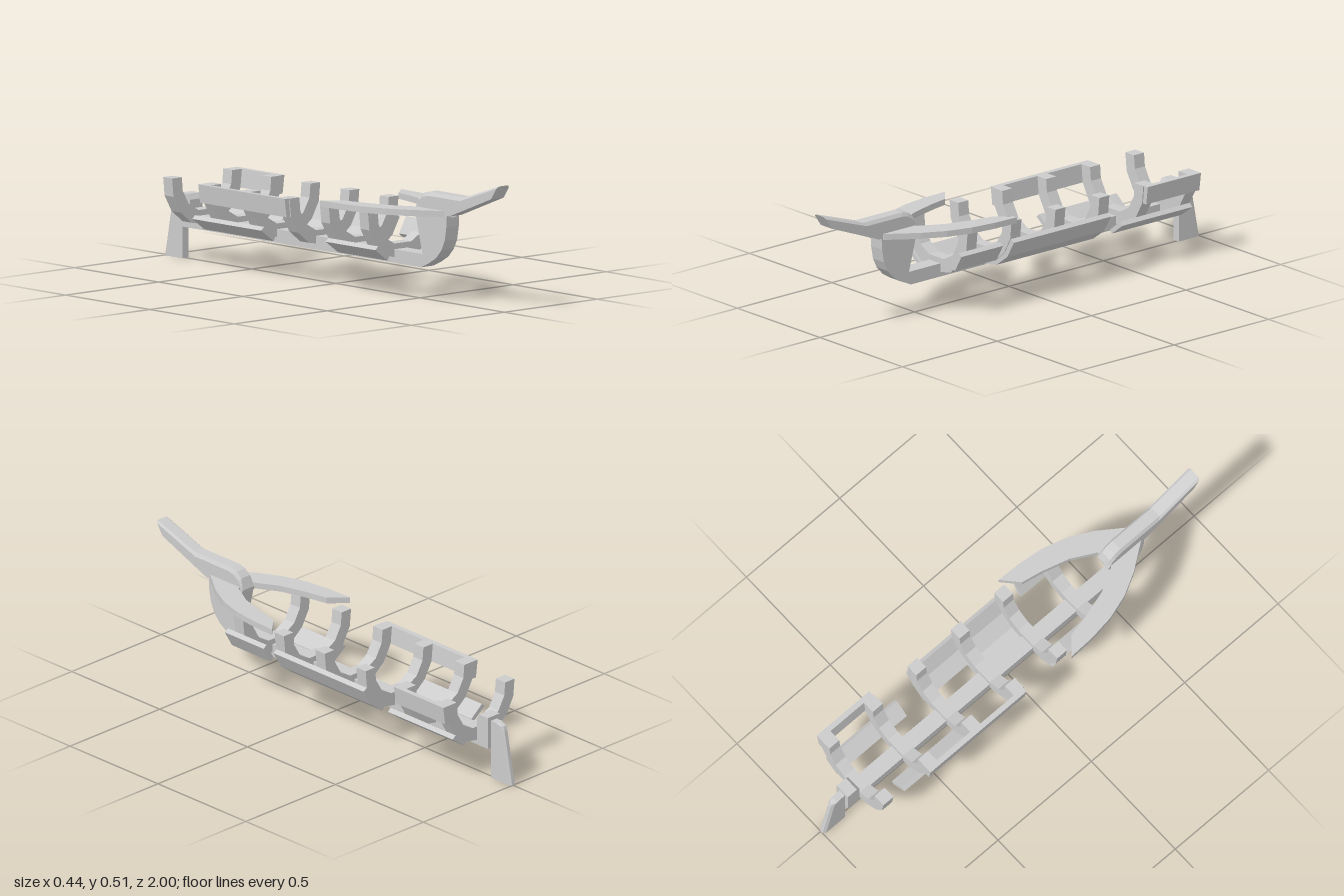
import * as THREE from 'three';

const mat = new THREE.MeshStandardMaterial({ color: 0xcccccc, flatShading: true });
const KEEL_X = -0.0035; // centre of keel and stem
const RIB_X = 0.0075;   // centre of the ribs
const KEEL_W = 0.067;

export function createModel() {
  const root = new THREE.Group();
  root.name = 'shipSkeleton';

  const add = (name, geo) => {
    const mesh = new THREE.Mesh(geo, mat);
    mesh.name = name;
    root.add(mesh);
  };
  const extrude = (pts, depth) => new THREE.ExtrudeGeometry(
    new THREE.Shape(pts.map(p => new THREE.Vector2(p[0], p[1]))), { depth, bevelEnabled: false });

  // (x, y) outline run lengthwise from z0 to z1
  const lengthwise = (name, pts, z0, z1) => add(name, extrude(pts, z1 - z0).translate(0, 0, z0));

  // (z, y) side outline with a width in x
  const sideways = (name, pts, width) =>
    add(name, extrude(pts, width).rotateY(-Math.PI / 2).translate(KEEL_X + width / 2, 0, 0));

  // closed loops joined in sequence, with end caps
  const loft = (name, loops) => {
    const v = [];
    const n = loops[0].length;
    const tri = (a, b, c) => v.push(...a, ...b, ...c);
    for (let s = 0; s < loops.length - 1; s++) {
      for (let i = 0; i < n; i++) {
        const j = (i + 1) % n, a = loops[s], b = loops[s + 1];
        tri(a[i], a[j], b[j]);
        tri(a[i], b[j], b[i]);
      }
    }
    const first = loops[0], last = loops[loops.length - 1];
    for (let i = 1; i < n - 1; i++) {
      tri(first[0], first[i + 1], first[i]);
      tri(last[0], last[i], last[i + 1]);
    }
    const geo = new THREE.BufferGeometry();
    geo.setAttribute('position', new THREE.Float32BufferAttribute(v, 3));
    geo.computeVertexNormals();
    add(name, geo);
  };

  // Keel sweeping up into the stem
  sideways('keelAndStem', [
    [-0.888, 0.132], [0.545, 0.132], [0.595, 0.155], [0.636, 0.18], [0.668, 0.215],
    [0.687, 0.255], [0.697, 0.31], [0.70, 0.365], [0.51, 0.365], [0.525, 0.30],
    [0.555, 0.187], [-0.888, 0.187],
  ], KEEL_W);

  // Stern post
  sideways('sternPost', [[-0.888, 0.132], [-0.825, 0.132], [-0.825, 0.245], [-0.84, 0.267], [-0.888, 0.267]], KEEL_W);

  // Rudder with a chamfered trailing edge
  const rw = 0.0155;
  loft('rudder', [[0, -1], [0.225, -0.957], [0.243, -0.95], [0.25, -0.93]].map(([y, aft]) => [
    [-rw, -0.888], [rw, -0.888], [rw, aft + 0.012], [rw / 2, aft], [-rw / 2, aft], [-rw, aft + 0.012],
  ].map(([x, z]) => [x + KEEL_X, y, z])));

  // Bowsprit: [bottom z, bottom y, top z, top y], chamfered on top
  loft('bowsprit', [
    [0.51, 0.35, 0.508, 0.365], [0.56, 0.352, 0.525, 0.41], [0.60, 0.355, 0.55, 0.432],
    [0.63, 0.355, 0.58, 0.44], [0.715, 0.357, 0.79, 0.44], [0.963, 0.455, 1.0, 0.51],
  ].map(([zb, yb, zt, yt]) => {
    const w = KEEL_W / 2, k = 0.83;
    const zm = zb + (zt - zb) * k, ym = yb + (yt - yb) * k;
    return [[-w, yb, zb], [w, yb, zb], [w, ym, zm], [w - 0.01, yt, zt], [-w + 0.01, yt, zt], [-w, ym, zm]]
      .map(([x, y, z]) => [x + KEEL_X, y, z]);
  }));

  // V-shaped bow rail: half outlines as (x, z), mirrored
  const railOuter = [[0.218, 0.148], [0.214, 0.26], [0.2, 0.37], [0.168, 0.475], [0.118, 0.57], [0.032, 0.69], [0, 0.715]];
  const railInner = [[0, 0.53], [0.04, 0.52], [0.095, 0.42], [0.13, 0.3], [0.148, 0.21]];
  const flipX = pts => pts.map(([x, z]) => [-x, z]).reverse();
  add('bowRail', extrude([
    ...railOuter, ...flipX(railOuter).slice(1), ...flipX(railInner), ...railInner.slice(1),
  ], 0.025).rotateX(Math.PI / 2).translate(0, 0.375, 0));

  // U-shaped ribs, half outlines measured from the rib centre
  const ribOuter = [[0.1875, 0.352], [0.18, 0.277], [0.142, 0.21], [0.083, 0.163], [0.0245, 0.152]];
  const ribInner = [[0.135, 0.352], [0.13, 0.296], [0.0975, 0.24], [0.045, 0.21]];
  const place = (pts, side) => pts.map(([x, y]) => [RIB_X + side * x, y]);
  const ribShape = [
    ...place(ribOuter, 1), ...place([...ribOuter].reverse(), -1),
    ...place(ribInner, -1), ...place([...ribInner].reverse(), 1),
  ];
  for (let i = 0; i < 6; i++) {
    const z = -0.826 + i * 0.2325;
    lengthwise('rib', ribShape, z, z + 0.053);
  }

  // Top rails joining rib heads
  const topRail = [[0.1875, 0.352], [0.18, 0.277], [0.2, 0.277], [0.21, 0.352]];
  lengthwise('leftTopRail', place(topRail, 1), -0.826, -0.545);
  lengthwise('rightTopRail', place(topRail, -1), -0.5935, -0.08);

  // Surviving hull planks: strake 0 is the highest
  const plankOuter = [[0.1975, 0.265], [0.1575, 0.196], [0.0915, 0.147], [0.0245, 0.135]];
  const plank = (strake, side, z0, z1) => {
    const s = strake;
    lengthwise('hullPlank', place([ribOuter[s + 1], ribOuter[s + 2], plankOuter[s + 1], plankOuter[s]], side), z0, z1);
  };
  plank(0, 1, 0.21, 0.43);
  plank(0, 1, -0.36, 0.153);
  plank(1, 1, -0.36, 0.153);
  plank(2, 1, -0.13, 0.153);
  plank(1, 1, -0.826, -0.457);
  plank(1, -1, -0.687, -0.277);
  plank(1, -1, 0.105, 0.4);

  return root;
}
